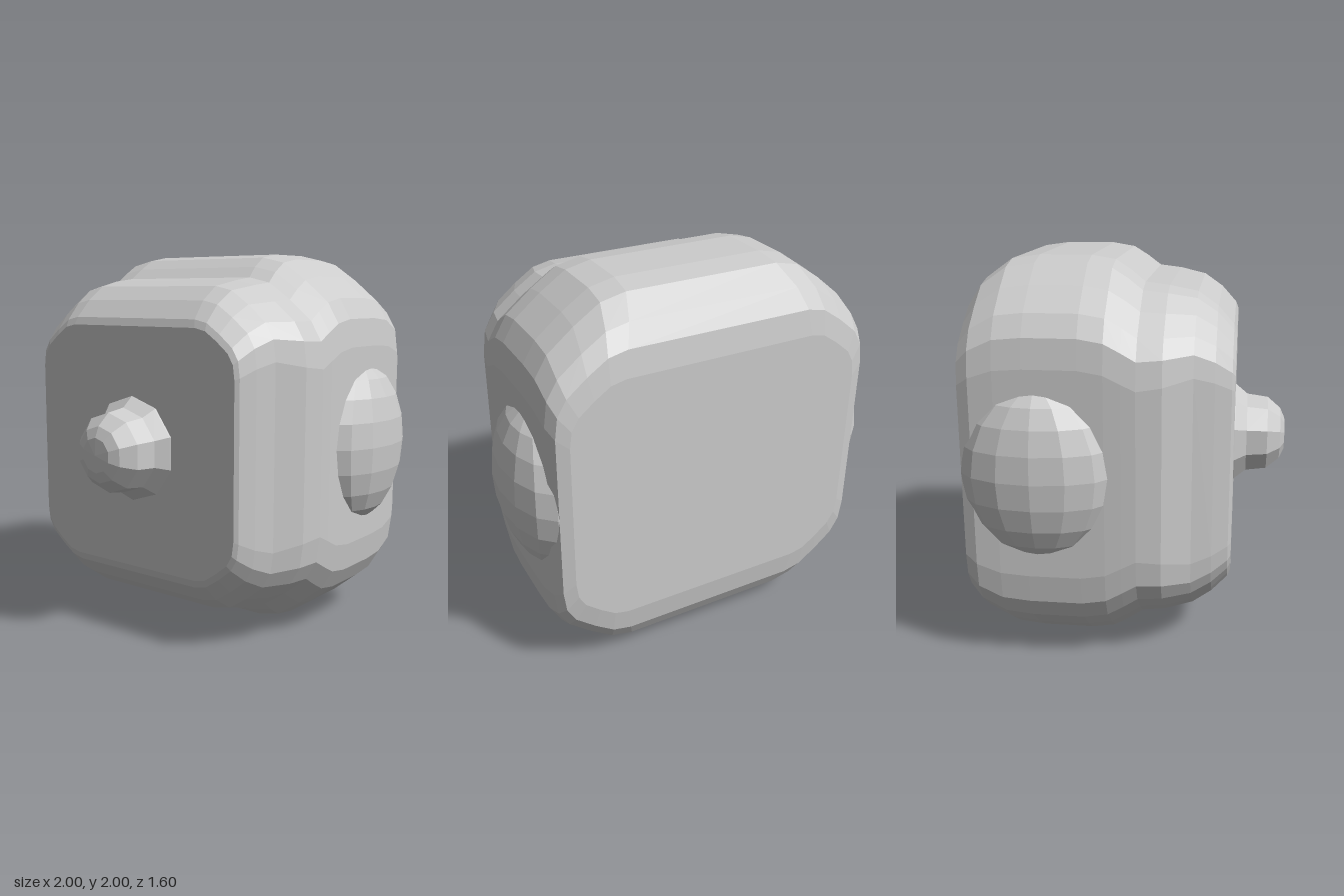
import * as THREE from 'three';

const material = new THREE.MeshStandardMaterial({ color: 0xcccccc, flatShading: true });

// Cross-sections of the body, front to back: [z, half width, half height, corner size]
const SECTIONS = [
  [0.525, 0.65, 0.63, 0.24],
  [0.51, 0.67, 0.67, 0.27],
  [0.43, 0.71, 0.76, 0.32],
  [0.33, 0.75, 0.83, 0.36],
  [0.19, 0.835, 0.86, 0.42],
  [0.07, 0.86, 0.875, 0.45],
  [0.0, 0.865, 0.93, 0.47],
  [-0.08, 0.87, 0.98, 0.48],
  [-0.2, 0.87, 1.0, 0.48],
  [-0.46, 0.87, 1.0, 0.48],
  [-0.6, 0.87, 0.98, 0.47],
  [-0.72, 0.865, 0.89, 0.42],
  [-0.78, 0.84, 0.79, 0.36],
  [-0.8, 0.78, 0.66, 0.28],
];

// Faceted corner, from the side wall (1,0) to the top wall (0,1)
const CORNER = [[1, 0], [0.96, 0.3], [0.83, 0.52], [0.55, 0.75], [0.27, 0.94], [0, 1]];

// One closed ring, counter-clockwise seen from the front
function ring([z, w, h, r]) {
  const points = [];
  for (const [sx, sy] of [[1, 1], [-1, 1], [-1, -1], [1, -1]]) {
    const corner = sx * sy > 0 ? CORNER : [...CORNER].reverse();
    for (const [u, v] of corner) points.push([sx * (w - r + u * r), 1 + sy * (h - r + v * r), z]);
  }
  return points;
}

// Skin the sections and close both ends
function bodyGeometry() {
  const rings = SECTIONS.map(ring);
  const n = rings[0].length;
  const positions = rings.flat(2);
  const front = rings.length * n;
  const back = front + 1;
  positions.push(0, 1, SECTIONS[0][0], 0, 1, SECTIONS[SECTIONS.length - 1][0]);
  const index = [];
  for (let j = 0; j < n; j++) {
    const k = (j + 1) % n;
    for (let i = 0; i < rings.length - 1; i++) {
      const a = i * n + j, b = i * n + k, c = b + n, d = a + n;
      index.push(a, d, b, b, d, c);
    }
    const last = (rings.length - 1) * n;
    index.push(front, j, k, back, last + k, last + j);
  }
  const geometry = new THREE.BufferGeometry();
  geometry.setAttribute('position', new THREE.Float32BufferAttribute(positions, 3));
  geometry.setIndex(index);
  geometry.computeVertexNormals();
  return geometry;
}

export function createModel() {
  const group = new THREE.Group();
  const add = (name, geometry) => {
    const mesh = new THREE.Mesh(geometry, material);
    mesh.name = name;
    group.add(mesh);
    return mesh;
  };

  // Stepped, chamfered block
  add('body', bodyGeometry());

  // Domed bumps on both sides
  for (const side of [1, -1]) {
    const bump = add(side > 0 ? 'leftBump' : 'rightBump', new THREE.SphereGeometry(1, 14, 10));
    bump.scale.set(0.2, 0.43, 0.38);
    bump.position.set(side * 0.8, 1, -0.41);
  }

  // Flared knob on the front
  const profile = [[0.3, -0.03], [0.27, 0.01], [0.22, 0.07], [0.205, 0.18], [0.145, 0.25], [0.09, 0.275], [0, 0.28]]
    .map(([r, y]) => new THREE.Vector2(r, y));
  const knob = add('frontKnob', new THREE.LatheGeometry(profile, 10));
  knob.rotation.x = Math.PI / 2;
  knob.position.set(0, 1, 0.52);

  return group;
}
